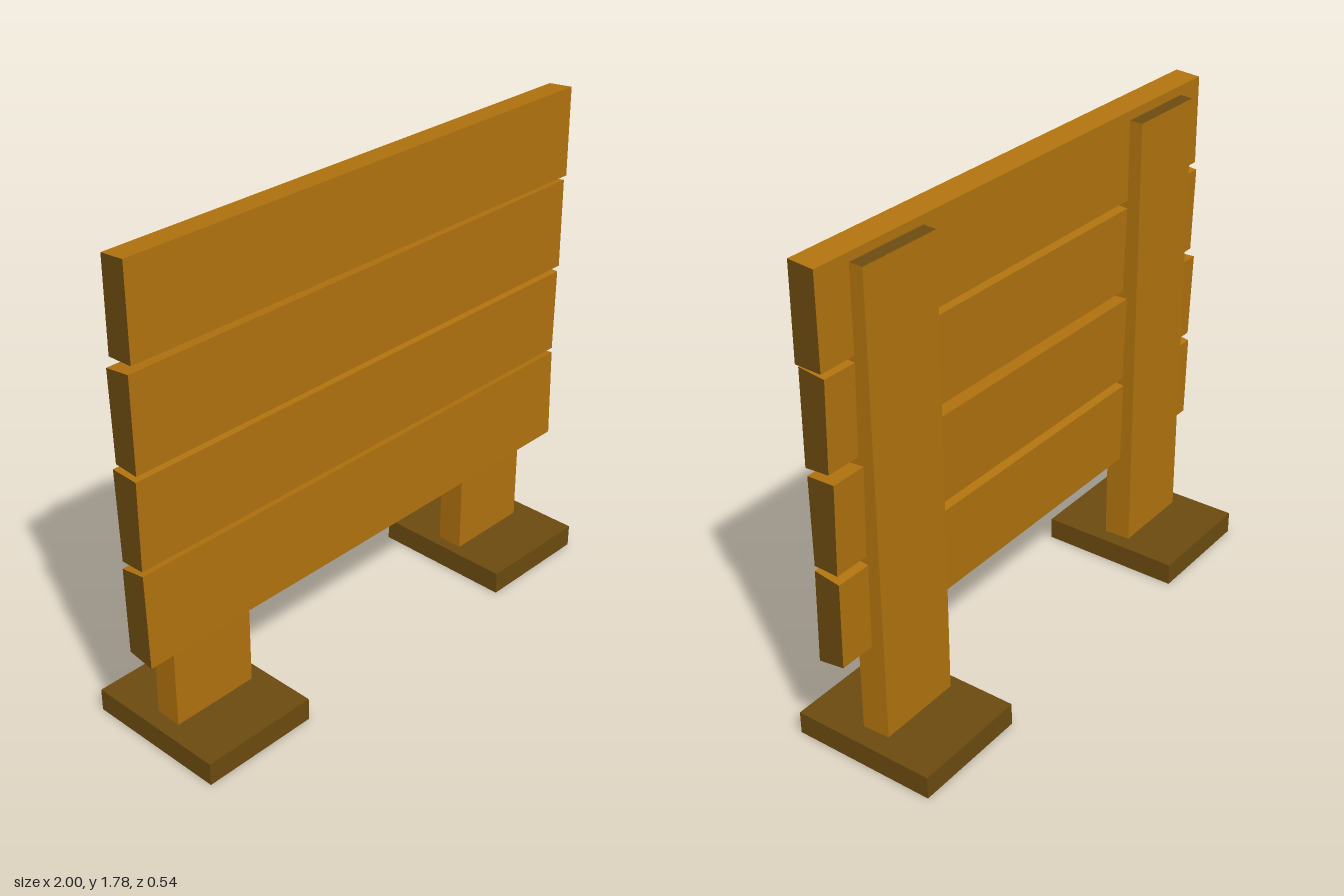
import * as THREE from 'three';

const wood = new THREE.MeshStandardMaterial({ color: 0xb0720e, flatShading: true });
const endGrain = new THREE.MeshStandardMaterial({ color: 0x6c4b10, flatShading: true });

// Extrude a four-sided section; the sawn ends get the darker end grain.
function board(name, corners, length) {
  const shape = new THREE.Shape(corners.map(([u, v]) => new THREE.Vector2(u, v)));
  const geometry = new THREE.ExtrudeGeometry(shape, { depth: length, bevelEnabled: false });
  geometry.translate(0, 0, -length / 2);
  const mesh = new THREE.Mesh(geometry, [endGrain, wood]);
  mesh.name = name;
  return mesh;
}

export function createModel() {
  const group = new THREE.Group();
  group.name = 'boardFence';

  // Slightly irregular planks: section corners as [z, y], end-to-end roll, x shift
  const planks = [
    { section: [[0.09, 0.75], [-0.005, 0.735], [0, 0.425], [0.098, 0.41]], roll: 0.002, x: -0.004 },
    { section: [[0.092, 1.082], [-0.01, 1.085], [0, 0.765], [0.09, 0.768]], roll: 0.002, x: -0.005 },
    { section: [[0.096, 1.437], [0, 1.425], [0.008, 1.112], [0.098, 1.106]], roll: 0.003, x: -0.005 },
    { section: [[0.093, 1.778], [0, 1.77], [0, 1.452], [0.096, 1.455]], roll: -0.002, x: 0 },
  ];
  planks.forEach(({ section, roll, x }, i) => {
    const plank = board(`plank${i + 1}`, section.map(([z, y]) => [-z, y]), 1.99);
    plank.geometry.rotateY(Math.PI / 2);
    plank.rotation.z = roll;
    plank.position.x = x;
    group.add(plank);
  });

  for (const [side, s] of [['left', 1], ['right', -1]]) {
    // Upright post behind the planks, top cut a little off level
    const x0 = s > 0 ? 0.533 : -0.873;
    const post = board(`${side}Post`, [[x0, -0.053], [x0 + 0.327, -0.053], [x0 + 0.322, 0.047], [x0 + 0.003, 0.047]], 1.67);
    post.geometry.rotateX(-Math.PI / 2);
    post.geometry.translate(0, 0.905, 0);
    const p = post.geometry.attributes.position;
    for (let i = 0; i < p.count; i++) {
      if (p.getY(i) > 1) p.setY(i, 1.738 + 0.06 * p.getZ(i));
    }
    post.geometry.computeVertexNormals();
    group.add(post);

    // Flat foot
    const foot = new THREE.Mesh(new THREE.BoxGeometry(0.44, 0.083, 0.536), endGrain);
    foot.name = `${side}Foot`;
    foot.position.set(s * 0.711, 0.0415, 0);
    group.add(foot);
  }

  return group;
}
